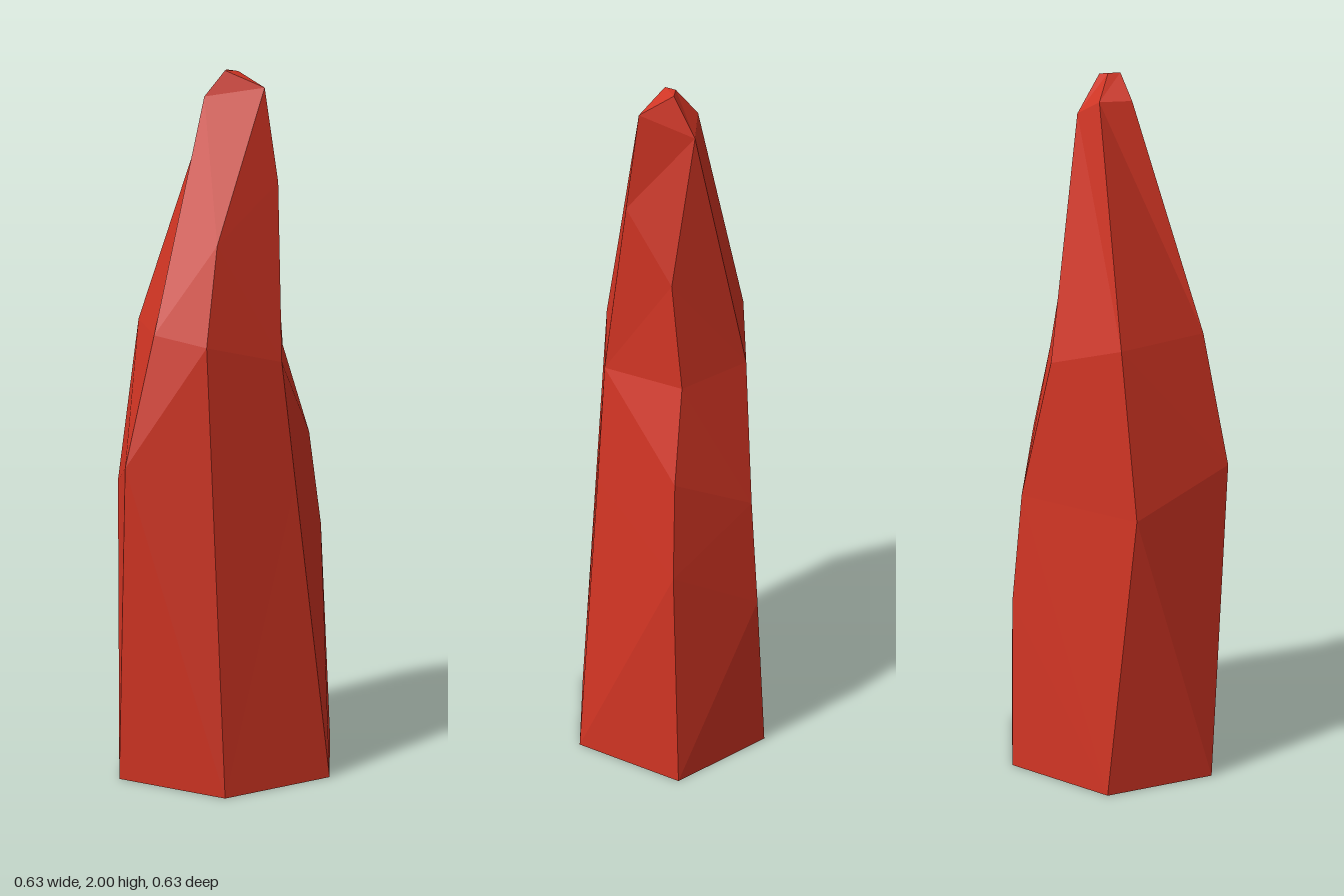
import * as THREE from 'three';

// Irregular six-sided crystal: six long ridges joined by facets, with a small cut tip.
export function createModel() {
  const red = new THREE.MeshStandardMaterial({ color: 0xd03423 });
  red.name = 'crystalRed';

  // Shared tip corners
  const frontTop = [0.11, 1.955, 0.03];
  const backTop = [0.025, 1.89, -0.09];
  const peakFront = [0, 2, 0.025];
  const peakBack = [0, 2, -0.01];
  const peakSide = [0.03, 1.995, -0.025];

  // Ridges from base to tip, counterclockwise seen from above
  const front = [[0.04, 0, 0.315], [-0.02, 1.27, 0.245], [0, 1.54, 0.18], frontTop];
  const leftFront = [[0.315, 0, 0.115], [0.21, 0.87, 0.11], [0.17, 1.21, 0.11], [0.15, 1.7, 0.045], frontTop];
  const leftBack = [[0.285, 0, -0.225], [0.255, 0.67, -0.185], [0.22, 0.95, -0.165],
    [0.145, 1.21, -0.135], [0.13, 1.5, -0.09], backTop];
  const back = [[-0.03, 0, -0.315], [0, 0.5, -0.3], [-0.005, 0.82, -0.27], [-0.07, 1.22, -0.2], backTop];
  const rightBack = [[-0.305, 0, -0.115], [-0.32, 0.82, -0.035], [-0.26, 1.29, -0.06], [-0.045, 1.93, -0.05]];
  const rightFront = [[-0.28, 0, 0.21], [-0.245, 0.93, 0.26], [-0.17, 1.295, 0.21], [-0.055, 1.93, 0.04]];
  const ridges = [front, leftFront, leftBack, back, rightBack, rightFront];

  const positions = [];
  const face = (...c) => {
    for (let i = 1; i < c.length - 1; i++) {
      if (c[0] !== c[i] && c[i] !== c[i + 1] && c[0] !== c[i + 1]) positions.push(...c[0], ...c[i], ...c[i + 1]);
    }
  };

  // Zip neighbouring ridges together, always advancing on the lower next corner
  ridges.forEach((a, k) => {
    const b = ridges[(k + 1) % ridges.length];
    let i = 0, j = 0;
    while (i < a.length - 1 || j < b.length - 1) {
      const advanceA = j === b.length - 1 || (i < a.length - 1 && a[i + 1][1] <= b[j + 1][1]);
      if (advanceA) face(a[i], b[j], a[++i]);
      else face(a[i], b[j], b[++j]);
    }
  });

  // Tip facets
  const cTop = rightBack.at(-1), bTop = rightFront.at(-1);
  face(backTop, cTop, peakBack, peakSide);
  face(cTop, bTop, peakFront, peakBack);
  face(bTop, frontTop, peakFront);
  face(peakFront, frontTop, peakSide, peakBack);
  face(frontTop, backTop, peakSide);

  // Flat base
  face(...ridges.map(r => r[0]).reverse());

  const geometry = new THREE.BufferGeometry();
  geometry.setAttribute('position', new THREE.Float32BufferAttribute(positions, 3));
  geometry.computeVertexNormals();

  const crystal = new THREE.Mesh(geometry, red);
  crystal.name = 'crystal';
  const group = new THREE.Group();
  group.name = 'crystalShard';
  group.add(crystal);
  return group;
}
